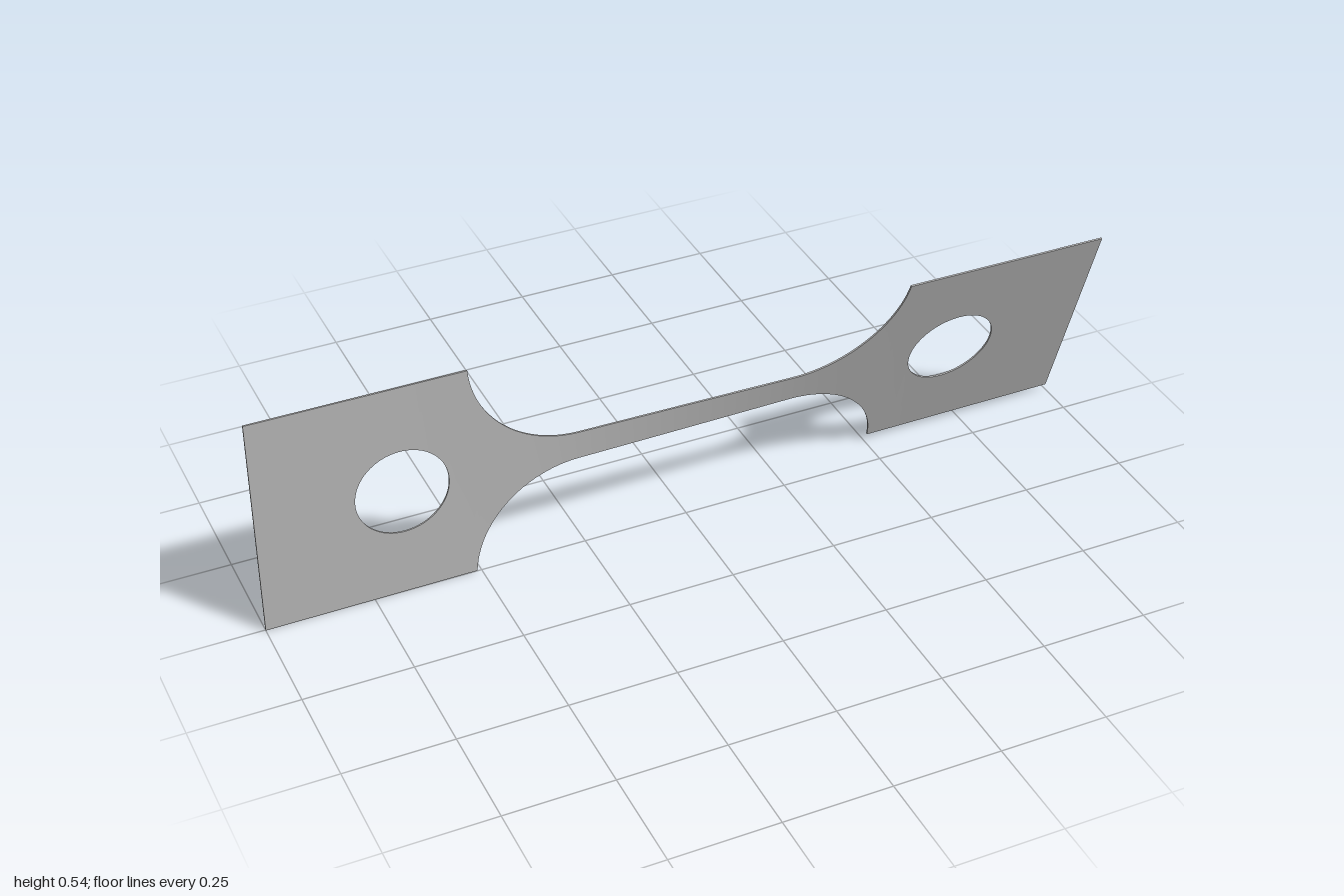
import * as THREE from 'three';
import { toCreasedNormals } from 'three/addons/utils/BufferGeometryUtils.js';

const HALF = 0.2705;      // half height of the end plates, also the axis height
const NECK = 0.036;       // half height of the narrow middle
const FILLET = 0.25;      // fillet radius between plate and neck
const FILLET_X = -0.26;   // where the fillet meets the neck
const HOLE_X = -0.67, HOLE_R = 0.107;
const T = 0.002;          // half thickness
const TWIST = 0.33;       // total twist in radians

// Stations along the bar: x, outer half height, half height of the hole
function makeStations() {
  const left = [];
  for (let i = 0; i < 4; i++) {
    left.push({ x: -1 + (1 + HOLE_X - HOLE_R) * i / 4, outer: HALF, inner: 0 });
  }
  for (let i = 0; i <= 32; i++) {
    const a = Math.PI * i / 32;
    const inner = i % 32 === 0 ? 0 : HOLE_R * Math.sin(a);
    left.push({ x: HOLE_X - HOLE_R * Math.cos(a), outer: HALF, inner });
  }
  const cy = NECK + FILLET;
  const a0 = Math.asin((cy - HALF) / FILLET);
  for (let i = 0; i <= 24; i++) {
    const a = a0 + (Math.PI / 2 - a0) * i / 24;
    left.push({ x: FILLET_X - FILLET * Math.cos(a), outer: cy - FILLET * Math.sin(a), inner: 0 });
  }
  for (let i = 1; i < 12; i++) {
    left.push({ x: FILLET_X * (1 - i / 12), outer: NECK, inner: 0 });
  }
  const right = left.map((s) => ({ ...s, x: -s.x })).reverse();
  const all = [...left, { x: 0, outer: NECK, inner: 0 }, ...right];

  // The bar twists more where it is narrower
  const rate = (s) => s.outer ** -1.5;
  let sum = 0;
  all.forEach((s, i) => {
    if (i) sum += (s.x - all[i - 1].x) * (rate(s) + rate(all[i - 1])) / 2;
    s.angle = sum;
  });
  all.forEach((s) => { s.angle *= TWIST / sum; });
  return all;
}

function makeTwistedBar() {
  const stations = makeStations();
  const pos = [];
  const point = (s, y, z) => {
    const c = Math.cos(s.angle), n = Math.sin(s.angle);
    return [s.x, HALF + y * c - z * n, y * n + z * c];
  };
  const quad = (a, b, c, d) => pos.push(...a, ...b, ...c, ...a, ...c, ...d);

  // Upper and lower halves, which part around the holes
  for (const side of [1, -1]) {
    const range = (s) => (side > 0 ? [s.inner, s.outer] : [-s.outer, -s.inner]);
    for (let i = 0; i < stations.length - 1; i++) {
      const p = stations[i], q = stations[i + 1];
      const [pl, ph] = range(p), [ql, qh] = range(q);
      const hole = p.inner > 0 || q.inner > 0;
      quad(point(p, pl, T), point(q, ql, T), point(q, qh, T), point(p, ph, T));
      quad(point(q, ql, -T), point(p, pl, -T), point(p, ph, -T), point(q, qh, -T));
      if (side > 0 || hole) {
        quad(point(p, ph, T), point(q, qh, T), point(q, qh, -T), point(p, ph, -T));
      }
      if (side < 0 || hole) {
        quad(point(p, pl, -T), point(q, ql, -T), point(q, ql, T), point(p, pl, T));
      }
    }
  }

  // End faces
  const a = stations[0], b = stations[stations.length - 1];
  quad(point(a, -HALF, -T), point(a, -HALF, T), point(a, HALF, T), point(a, HALF, -T));
  quad(point(b, -HALF, T), point(b, -HALF, -T), point(b, HALF, -T), point(b, HALF, T));

  const geometry = new THREE.BufferGeometry();
  geometry.setAttribute('position', new THREE.Float32BufferAttribute(pos, 3));
  return toCreasedNormals(geometry, 0.6);
}

export function createModel() {
  const group = new THREE.Group();
  group.name = 'twistedTestBar';
  const steel = new THREE.MeshStandardMaterial({ color: 0xb8b8b8 });
  steel.name = 'greySteel';
  const bar = new THREE.Mesh(makeTwistedBar(), steel);
  bar.name = 'barWithHoledEndPlates';
  group.add(bar);
  return group;
}
